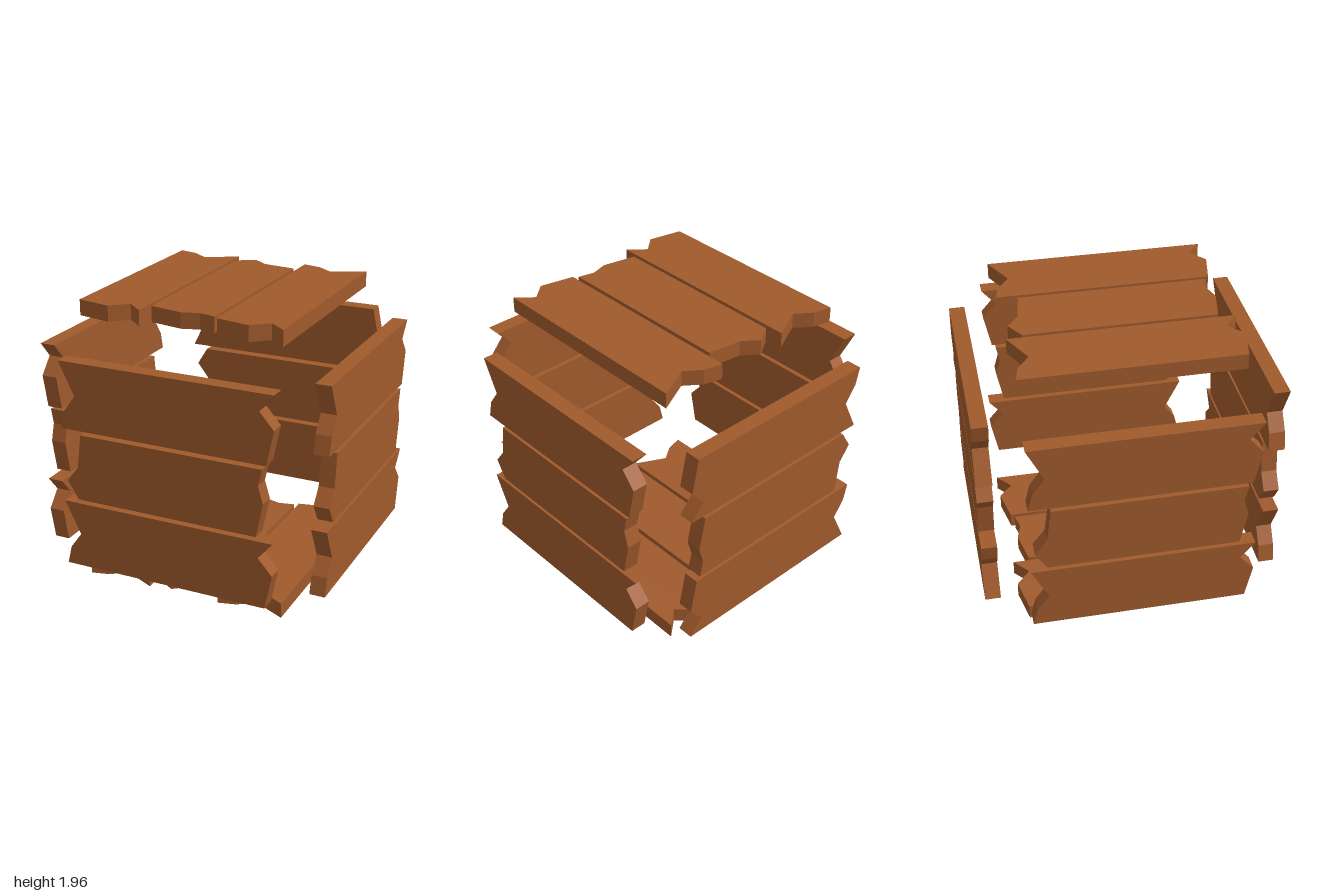
import * as THREE from 'three';

const T = 0.105;        // plank thickness
const W = 0.2275;       // half plank width
const PITCH = 0.4825;   // spacing between planks

// Broken plank ends as [along, across], listed counter-clockwise
const OUTER = [
  [-0.715, W], [-0.605, 0.005], [-0.685, -0.105], [-0.715, -W],
  [0.708, -W], [0.756, 0.005], [0.66, 0.115], [0.756, W],
];
const MIDDLE = [
  [-0.575, W], [-0.605, 0], [-0.685, -0.105], [-0.61, -W],
  [0.645, -W], [0.691, 0], [0.657, 0.115], [0.682, W],
];

function plankGeometry(points) {
  const shape = new THREE.Shape(points.map(([u, v]) => new THREE.Vector2(u, v)));
  const geo = new THREE.ExtrudeGeometry(shape, { depth: T, bevelEnabled: false });
  return geo.translate(0, 0, -T); // outer face at local z = 0
}

export function createModel() {
  const crate = new THREE.Group();
  crate.name = 'plankCrate';
  const wood = new THREE.MeshStandardMaterial({ color: 0xa05a2c });
  wood.name = 'brownWood';
  const outer = plankGeometry(OUTER);
  const middle = plankGeometry(MIDDLE);

  // Each side: outer face centre, plank direction, stacking direction
  const sides = [
    ['frontPanel', [0, 0.9325, 1], [1, 0, 0], [0, 1, 0]],
    ['backPanel', [0, 0.9325, -1], [1, 0, 0], [0, -1, 0]],
    ['leftPanel', [1, 0.9325, 0], [0, 0, -1], [0, 1, 0]],
    ['rightPanel', [-1, 0.9325, 0], [0, 0, 1], [0, 1, 0]],
    ['topPanel', [-0.0065, 1.96, 0], [0, 0, 1], [1, 0, 0]],
    ['bottomPanel', [-0.0065, 0, 0], [0, 0, -1], [1, 0, 0]],
  ];
  for (const [name, centre, along, across] of sides) {
    const panel = new THREE.Group();
    panel.name = name;
    const u = new THREE.Vector3(...along);
    const v = new THREE.Vector3(...across);
    const basis = new THREE.Matrix4().makeBasis(u, v, u.clone().cross(v));
    panel.quaternion.setFromRotationMatrix(basis);
    panel.position.set(...centre);
    // Three planks per side, the middle one shorter
    for (let i = -1; i <= 1; i++) {
      const plank = new THREE.Mesh(i === 0 ? middle : outer, wood);
      plank.name = ['lowerPlank', 'middlePlank', 'upperPlank'][i + 1];
      plank.position.y = i * PITCH;
      panel.add(plank);
    }
    crate.add(panel);
  }
  return crate;
}
